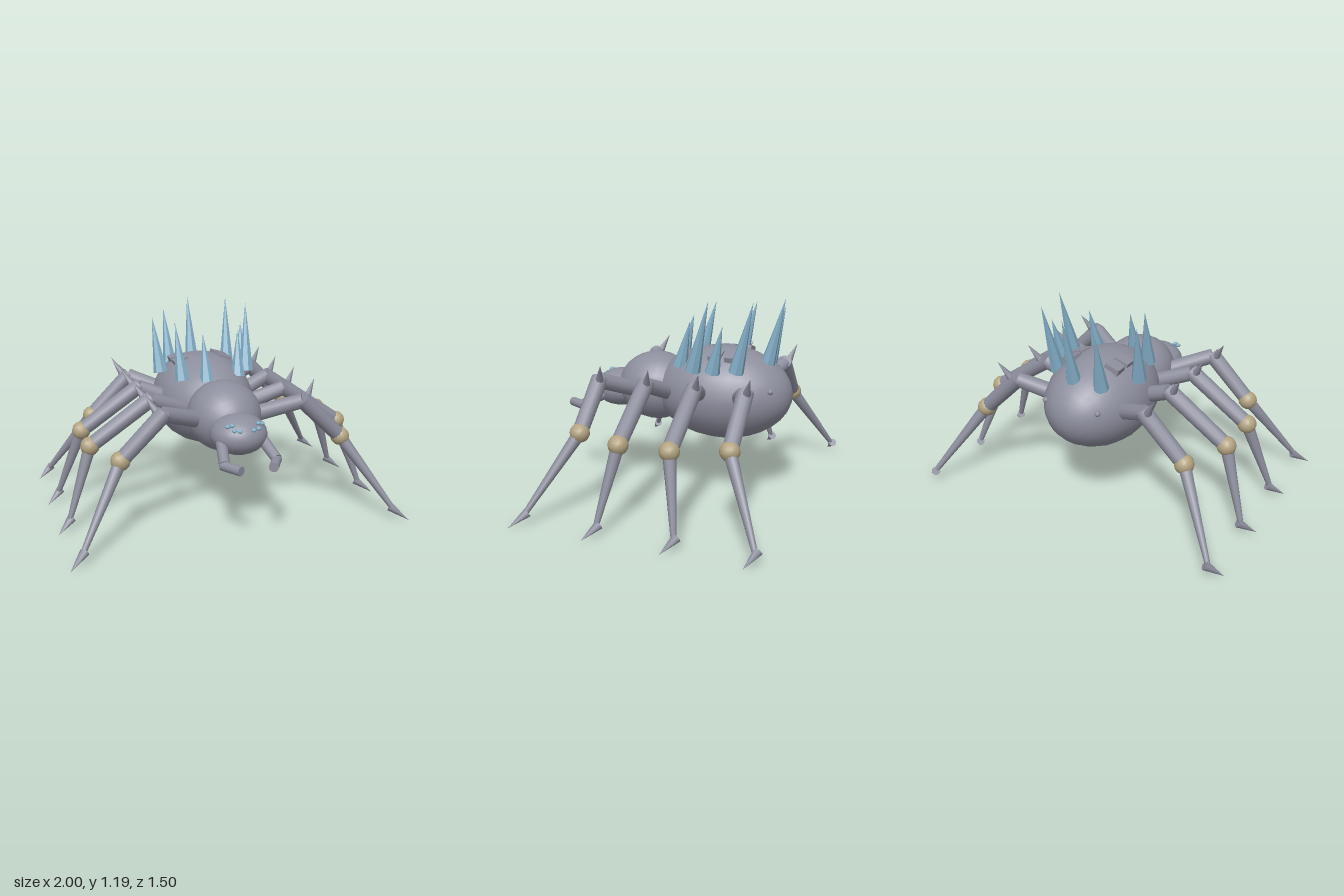
import * as THREE from 'three';

const mat = (name, color) => {
  const m = new THREE.MeshStandardMaterial({ color });
  m.name = name;
  return m;
};
const shell = mat('grey shell', 0x8e8f9e);
const crystal = mat('blue crystal', 0x84afc8);
const joint = mat('tan joint', 0xb3a482);

const V = (p) => new THREE.Vector3(...p);

function add(parent, name, geometry, material) {
  const mesh = new THREE.Mesh(geometry, material);
  mesh.name = name;
  parent.add(mesh);
  return mesh;
}

// Ellipsoid with its poles along z
function ellipsoid(parent, name, pos, radii, material, seg = 20) {
  const geo = new THREE.SphereGeometry(1, seg, Math.round(seg * 0.7));
  geo.rotateX(Math.PI / 2).scale(...radii);
  const mesh = add(parent, name, geo, material);
  mesh.position.set(...pos);
  return mesh;
}

// Tapered limb from a to b; a zero end radius gives a cone
function limb(parent, name, a, b, ra, rb, material, sides = 12, faceted = false) {
  const start = V(a), end = V(b);
  const dir = end.clone().sub(start);
  let geo = new THREE.CylinderGeometry(rb, ra, dir.length(), sides);
  if (faceted) {
    geo = geo.toNonIndexed();
    geo.computeVertexNormals();
  }
  const mesh = add(parent, name, geo, material);
  mesh.position.copy(start).add(end).multiplyScalar(0.5);
  mesh.quaternion.setFromUnitVectors(new THREE.Vector3(0, 1, 0), dir.normalize());
  return mesh;
}

export function createModel() {
  const model = new THREE.Group();
  model.name = 'spider';

  // Body
  ellipsoid(model, 'abdomen', [0, 0.613, -0.245], [0.302, 0.277, 0.415], shell, 24);
  ellipsoid(model, 'thorax', [0, 0.613, 0.18], [0.217, 0.207, 0.237], shell, 24);
  ellipsoid(model, 'head', [0, 0.58, 0.425], [0.163, 0.115, 0.16], shell, 20);

  // Back spikes: tip positions, each leaning backwards from the abdomen
  const tips = [
    [-0.06, 1.05, -0.035], [-0.205, 1.115, -0.125], [-0.285, 1.115, -0.36],
    [-0.155, 1.115, -0.572], [0.018, 1.187, -0.614], [0.237, 1.187, -0.49],
    [0.285, 1.187, -0.247], [0.285, 1.05, -0.33], [0.18, 1.05, -0.1],
  ];
  for (const [x, y, z] of tips) {
    const lean = (y - 0.78) * 0.25;
    limb(model, 'backSpike', [x * 0.9, 0.78, z + lean], [x, y, z], 0.045, 0, crystal, 7, true);
  }

  // Leg rows: z of the knee, knee x, hip, foot joint z, claw tip z
  const legs = [
    { z: 0.367, kneeX: 0.66, hip: [0.12, 0.6, 0.205], ankleZ: 0.582, tipZ: 0.642 },
    { z: 0.077, kneeX: 0.775, hip: [0.12, 0.6, 0.015], ankleZ: 0.145, tipZ: 0.198 },
    { z: -0.215, kneeX: 0.775, hip: [0.14, 0.6, -0.16], ankleZ: -0.297, tipZ: -0.247 },
    { z: -0.505, kneeX: 0.66, hip: [0.14, 0.6, -0.375], ankleZ: -0.727, tipZ: -0.688 },
  ];

  for (const s of [1, -1]) {
    const side = s > 0 ? 'left' : 'right';

    for (const { z, kneeX, hip, ankleZ, tipZ } of legs) {
      const leg = new THREE.Group();
      leg.name = side + 'Leg';
      model.add(leg);
      const top = [s * 0.415, 0.715, z];
      const knee = [s * kneeX, 0.474, z];
      const ankle = [s * 0.922, 0.06, ankleZ];
      limb(leg, 'hipSegment', [s * hip[0], hip[1], hip[2]], top, 0.05, 0.044, shell);
      limb(leg, 'thigh', [s * 0.405, 0.725, z], knee, 0.048, 0.044, shell);
      ellipsoid(leg, 'knee', knee, [0.056, 0.056, 0.056], joint, 12);
      limb(leg, 'shin', knee, ankle, 0.037, 0.015, shell, 10);
      limb(leg, 'claw', [s * 0.908, 0.068, ankleZ - 0.012], [s * 0.998, 0, tipZ], 0.027, 0, shell, 8);
      limb(leg, 'legSpur', [s * 0.44, 0.715, z - 0.015], [s * 0.508, 0.825, z - 0.058], 0.027, 0, shell, 8);
    }

    // Bent mandibles
    const elbow = [s * 0.15, 0.482, 0.622];
    limb(model, side + 'MandibleBase', [s * 0.115, 0.565, 0.46], elbow, 0.033, 0.03, shell);
    limb(model, side + 'MandibleTip', [s * 0.157, 0.476, 0.61], [s * 0.092, 0.475, 0.722], 0.028, 0.027, shell);

    // Eye cluster
    const eyes = [[0.04, 0.637, 0.558], [0.07, 0.642, 0.553], [0.076, 0.665, 0.53], [0.1, 0.66, 0.526]];
    for (const [x, y, z] of eyes) {
      ellipsoid(model, side + 'Eye', [s * x, y, z], [0.014, 0.012, 0.014], crystal, 10);
    }

    // Raised plates and a small nub on the abdomen
    for (const z of [-0.345, -0.245]) {
      const plate = add(model, side + 'BackPlate', new THREE.BoxGeometry(0.09, 0.04, 0.075), shell);
      plate.position.set(s * 0.138, 0.848, z);
      plate.rotation.z = -s * 0.3;
    }
    ellipsoid(model, side + 'RearNub', [s * 0.17, 0.675, -0.578], [0.017, 0.017, 0.017], shell, 8);
  }

  return model;
}
